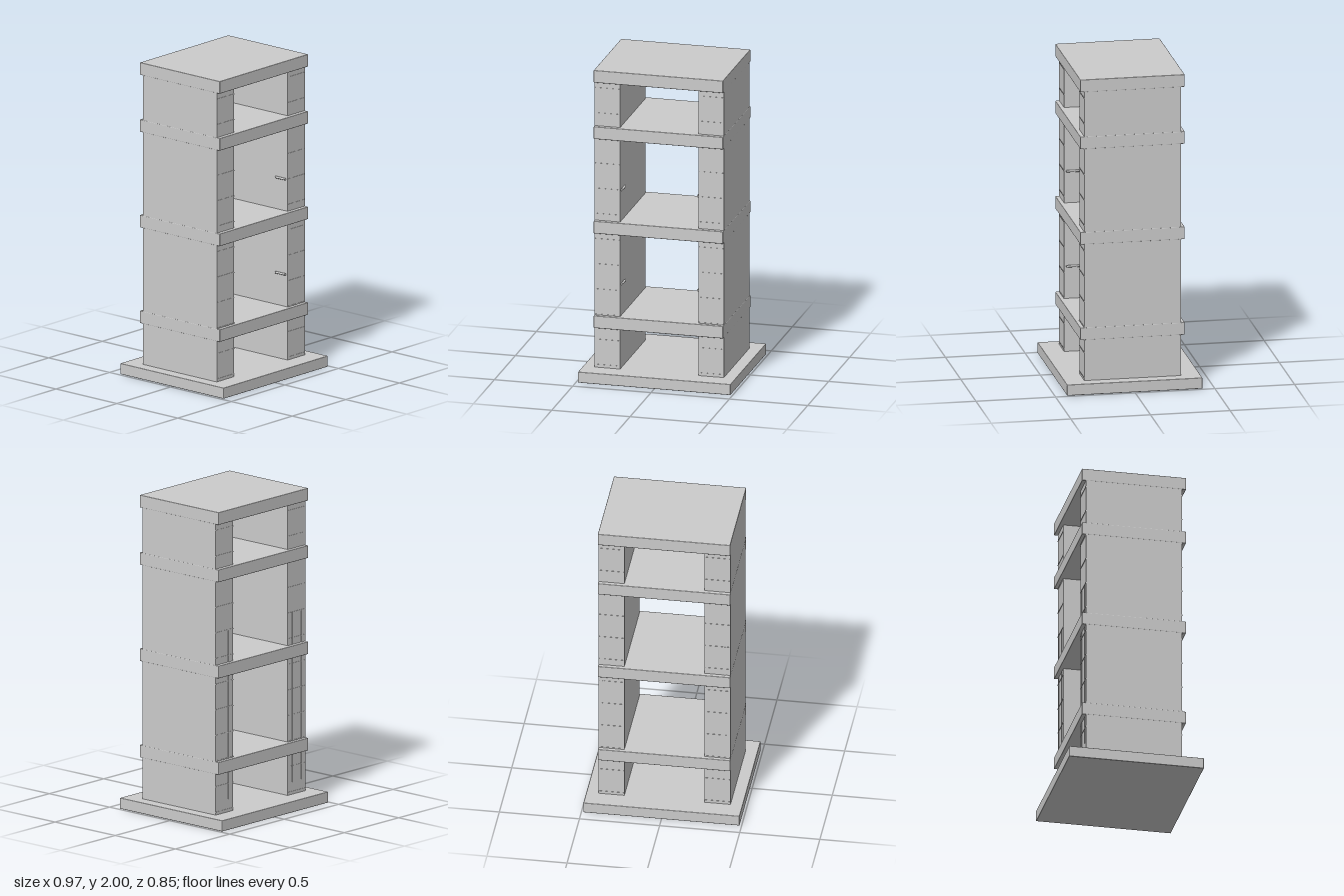
import * as THREE from 'three';
import { RoundedBoxGeometry } from 'three/addons/geometries/RoundedBoxGeometry.js';

const material = new THREE.MeshStandardMaterial({ color: 0xcccccc });

export function createModel() {
  const model = new THREE.Group();

  const add = (name, geometry, x, y, z) => {
    const mesh = new THREE.Mesh(geometry, material);
    mesh.name = name;
    mesh.position.set(x, y, z);
    model.add(mesh);
  };
  const box = (name, w, h, d, x, y, z) => add(name, new THREE.BoxGeometry(w, h, d), x, y, z);
  const slab = (name, w, h, d, y) => add(name, new RoundedBoxGeometry(w, h, d, 1, 0.004), 0, y, 0);

  // Base plinth, three shelves and the top, with softened edges
  slab('base', 0.974, 0.07, 0.85, 0.035);
  for (const y of [0.37, 0.983, 1.595]) slab('shelf', 0.826, 0.08, 0.656, y);
  slab('top', 0.826, 0.08, 0.656, 1.96);

  for (const side of [-1, 1]) {
    // Thick side wall
    box('sideWall', 0.162, 1.88, 0.606, side * 0.331, 1.0, 0);

    // Thin raised joints between the courses, on front and back
    for (let i = 0; i < 12; i++) {
      const y = 0.087 + i * 0.163;
      for (const face of [-1, 1]) {
        box('courseJoint', 0.16, 0.006, 0.004, side * 0.331, y, face * 0.303);
      }
    }

    // Upright strips on the back
    for (const x of [0.293, 0.378]) {
      box('backStrip', 0.008, 1.08, 0.006, side * x, 0.69, -0.303);
    }

    // Small pegs on the inner faces, near the front
    for (const y of [0.617, 1.227]) {
      const peg = new THREE.CylinderGeometry(0.007, 0.007, 0.08, 12).rotateX(Math.PI / 2);
      add('shelfPeg', peg, side * 0.243, y, 0.25);
    }
  }
  return model;
}
